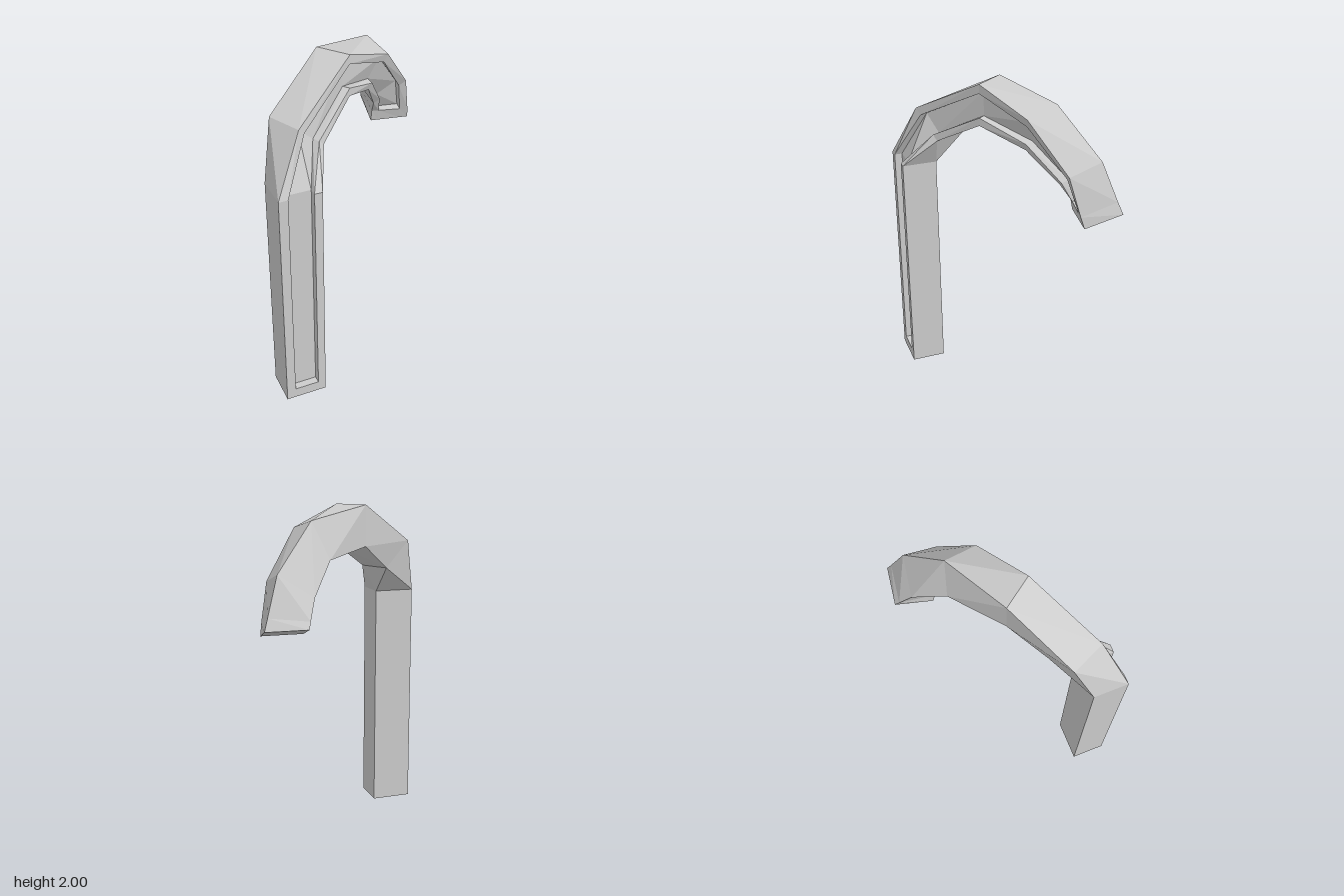
import * as THREE from 'three';

const v = (x, y, z) => new THREE.Vector3(x, y, z);
const DEPTH = 0.22; // groove depth as a share of the bar's thickness

// Four corners of a section: outer front, inner front, inner back, outer back
const column = (y) => [v(-0.6, y, 0.52), v(-0.35, y, 0.52), v(-0.35, y, 0.31), v(-0.6, y, 0.31)];
const top = column(1.43);
const bend = [
  [v(-0.43, 1.76, 0.4), v(-0.26, 1.6, 0.325), v(-0.35, 1.6, 0.135), v(-0.52, 1.76, 0.2)],
  [v(-0.025, 2, 0.14), v(-0.025, 1.755, 0.14), v(-0.15, 1.755, -0.03), v(-0.15, 2, -0.03)],
  [v(0.29, 1.88, -0.025), v(0.185, 1.66, -0.06), v(0.145, 1.71, -0.255), v(0.245, 1.93, -0.22)],
  [v(0.5, 1.6, -0.19), v(0.3, 1.47, -0.225), v(0.29, 1.53, -0.425), v(0.49, 1.66, -0.39)],
];
const grooveEnd = [v(0.548, 1.375, -0.245), v(0.318, 1.385, -0.285), v(0.335, 1.415, -0.495), v(0.565, 1.44, -0.46)];
const tip = [v(0.56, 1.305, -0.265), v(0.32, 1.31, -0.3), v(0.35, 1.375, -0.52), v(0.59, 1.37, -0.485)];

// Eight-point ring with a groove sunk into the front face
function ring([of, inf, ib, ob], depth) {
  const at = (across, back) => of.clone().lerp(inf, across).lerp(ob.clone().lerp(ib, across), back);
  return [of, at(0.22, 0), at(0.22, depth), at(0.81, depth), at(0.81, 0), inf, ib, ob];
}

// Skin a run of rings, with optional flat caps at its ends
function skin(name, rings, capStart, capEnd) {
  const pos = [];
  const tri = (a, b, c) => {
    const area = b.clone().sub(a).cross(c.clone().sub(a)).length();
    if (area > 1e-7) for (const p of [a, b, c]) pos.push(p.x, p.y, p.z);
  };
  const quad = (a, b, c, d) => { tri(a, b, d); tri(b, c, d); };
  for (let s = 0; s < rings.length - 1; s++) {
    const a = rings[s], b = rings[s + 1];
    for (let i = 0; i < 8; i++) {
      const j = (i + 1) % 8;
      quad(a[i], a[j], b[j], b[i]);
    }
  }
  const first = rings[0], last = rings[rings.length - 1];
  if (capStart) quad(first[0], first[7], first[6], first[5]);
  if (capEnd) quad(last[0], last[5], last[6], last[7]);
  const geo = new THREE.BufferGeometry();
  geo.setAttribute('position', new THREE.Float32BufferAttribute(pos, 3));
  geo.computeVertexNormals();
  const mesh = new THREE.Mesh(geo, new THREE.MeshStandardMaterial({ color: 0xcccccc, flatShading: true }));
  mesh.name = name;
  return mesh;
}

export function createModel() {
  const group = new THREE.Group();
  group.name = 'hookedPost';

  // Upright post, solid at the foot, grooved above
  const foot = column(0.065);
  group.add(skin('post', [
    ring(column(0), 0), ring(foot, 0), ring(foot, DEPTH), ring(top, DEPTH),
  ], true, false));

  // Twisting hook, the groove stopping just short of the tip
  group.add(skin('hook', [
    ...[top, ...bend, grooveEnd].map((s) => ring(s, DEPTH)),
    ring(grooveEnd, 0), ring(tip, 0),
  ], false, true));

  return group;
}
